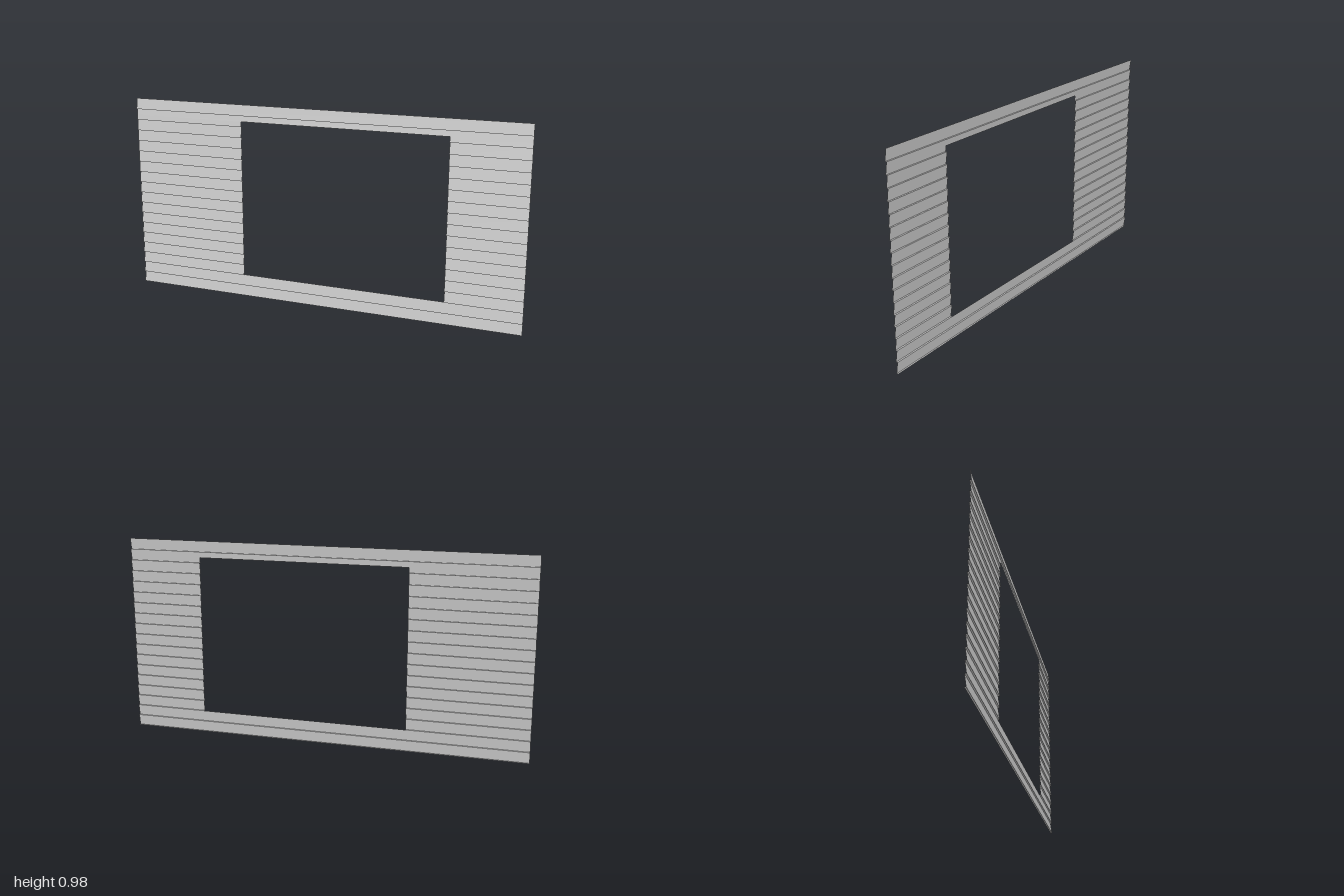
import * as THREE from 'three';

const COURSES = 18;
const HEIGHT = 0.978;
const STEP = HEIGHT / COURSES;
const LEAN = 0.004; // half the depth of one lap
const OPENING = { left: -0.41, right: 0.63, bottom: 2 * STEP, top: 0.895 };

const material = new THREE.MeshStandardMaterial({
  color: 0xcccccc, flatShading: true, side: THREE.DoubleSide,
});

// Flat strip running along x between two (y, z) edges, facing the front when a is below b
function strip(x0, x1, a, b) {
  const p = [[x0, ...a], [x1, ...a], [x1, ...b], [x0, ...b]];
  const geometry = new THREE.BufferGeometry();
  geometry.setAttribute('position',
    new THREE.Float32BufferAttribute([0, 1, 2, 0, 2, 3].flatMap((i) => p[i]), 3));
  geometry.computeVertexNormals();
  return new THREE.Mesh(geometry, material);
}

// One siding board: a leaning face, and a ledge under its lower edge
function board(x0, x1, course, y0, y1) {
  const base = course * STEP;
  const zAt = (y) => LEAN - 2 * LEAN * (y - base) / STEP;
  const group = new THREE.Group();
  const face = strip(x0, x1, [y0, zAt(y0)], [y1, zAt(y1)]);
  face.name = 'boardFace';
  group.add(face);
  if (y0 === base) {
    const ledge = strip(x0, x1, [base, -LEAN], [base, LEAN]);
    ledge.name = 'boardLedge';
    group.add(ledge);
  }
  group.name = 'sidingBoard';
  return group;
}

export function createModel() {
  const wall = new THREE.Group();
  wall.name = 'sidingWall';

  for (let i = 0; i < COURSES; i++) {
    const y0 = i * STEP, y1 = y0 + STEP;
    if (i < 2 || y0 >= OPENING.top) {
      wall.add(board(-1, 1, i, y0, y1));
      continue;
    }
    // Boards beside the window opening
    const cut = Math.min(y1, OPENING.top);
    wall.add(board(-1, OPENING.left, i, y0, cut), board(OPENING.right, 1, i, y0, cut));
    // Rest of the notched board over the opening
    if (cut < y1) wall.add(board(-1, 1, i, cut, y1));
  }

  // The wall stands at a slight turn
  wall.rotation.y = 0.0248;
  const model = new THREE.Group();
  model.name = 'wallPanel';
  model.add(wall);
  return model;
}
